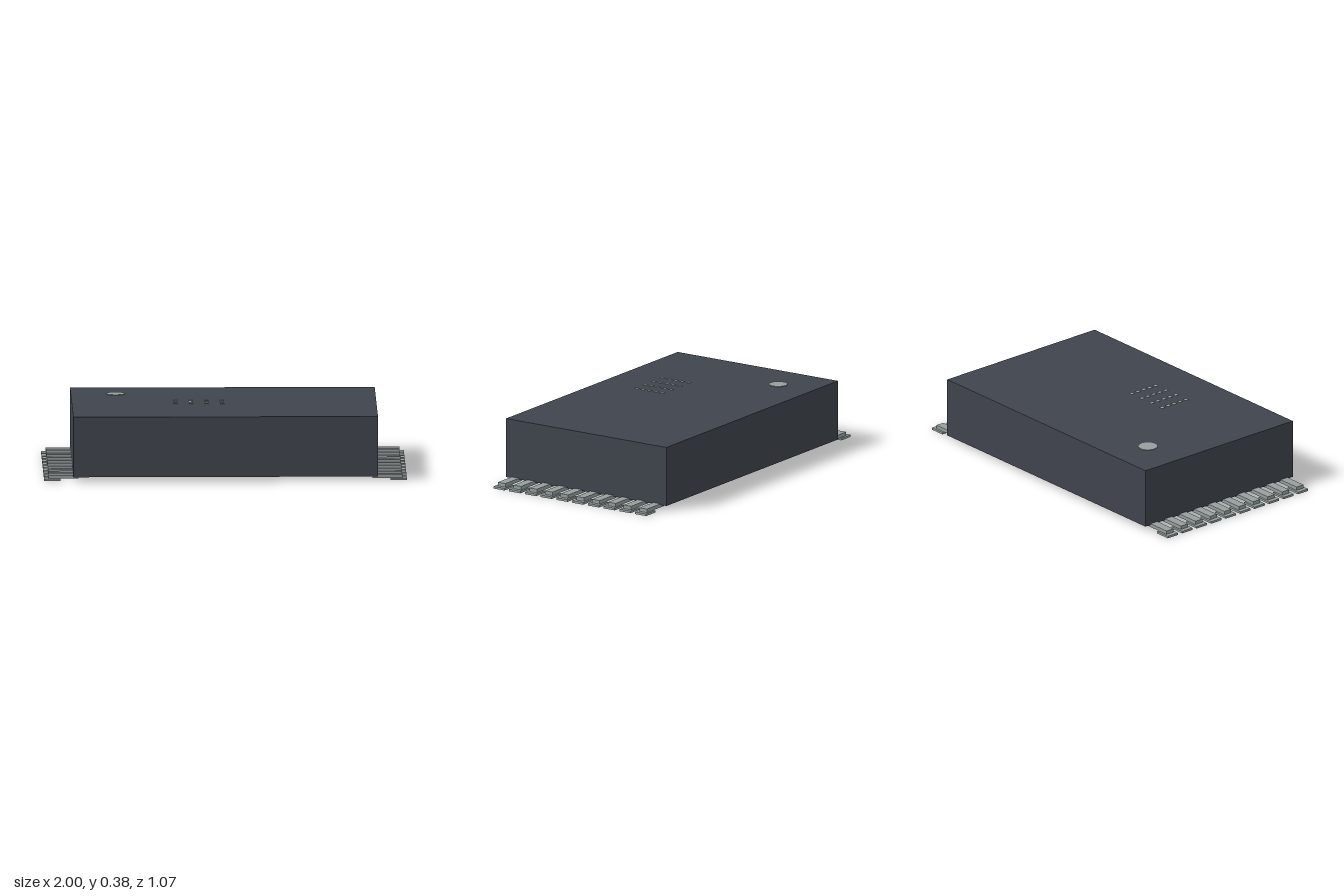
import * as THREE from 'three';

const casing = new THREE.MeshStandardMaterial({ color: 0x40444d });
casing.name = 'charcoal casing';
const metal = new THREE.MeshStandardMaterial({ color: 0x969e9e });
metal.name = 'pale grey metal';

// Box given by its minimum and maximum corners
function box(name, material, [x0, y0, z0], [x1, y1, z1]) {
  const mesh = new THREE.Mesh(new THREE.BoxGeometry(x1 - x0, y1 - y0, z1 - z0), material);
  mesh.position.set((x0 + x1) / 2, (y0 + y1) / 2, (z0 + z1) / 2);
  mesh.name = name;
  return mesh;
}

// One pin: a narrow lead resting on a wider solder foot
function createPin() {
  const pin = new THREE.Group();
  pin.name = 'pin';
  pin.add(
    box('lead', metal, [0.81, 0.012, -0.025], [0.975, 0.032, 0.025]),
    box('foot', metal, [0.91, 0, -0.037], [1, 0.012, 0.037])
  );
  return pin;
}

export function createModel() {
  const model = new THREE.Group();
  model.name = 'chipPackage';

  // Package body
  model.add(box('body', casing, [-0.84, 0.025, -0.535], [0.84, 0.36, 0.535]));

  // Ten pins along each end
  for (const side of [1, -1]) {
    const row = new THREE.Group();
    row.name = side > 0 ? 'leftPins' : 'rightPins';
    for (let i = 0; i < 10; i++) {
      const pin = createPin();
      pin.position.z = (i - 4.5) * 0.105;
      row.add(pin);
    }
    if (side < 0) row.rotation.y = Math.PI;
    model.add(row);
  }

  // Round orientation dot on the top face
  const dot = new THREE.Mesh(new THREE.CylinderGeometry(0.052, 0.052, 0.004, 24), metal);
  dot.name = 'orientationDot';
  dot.position.set(-0.593, 0.361, -0.305);
  model.add(dot);

  // Columns of small plates hovering just above the top face
  const marks = new THREE.Group();
  marks.name = 'surfaceMarks';
  for (const x of [-0.271, -0.185, -0.1, -0.014]) {
    for (let i = 0; i < 5; i++) {
      const z = 0.074 + i * 0.043;
      marks.add(box('markPlate', metal, [x - 0.012, 0.383, z - 0.013], [x + 0.012, 0.385, z + 0.013]));
    }
  }
  model.add(marks);

  return model;
}
